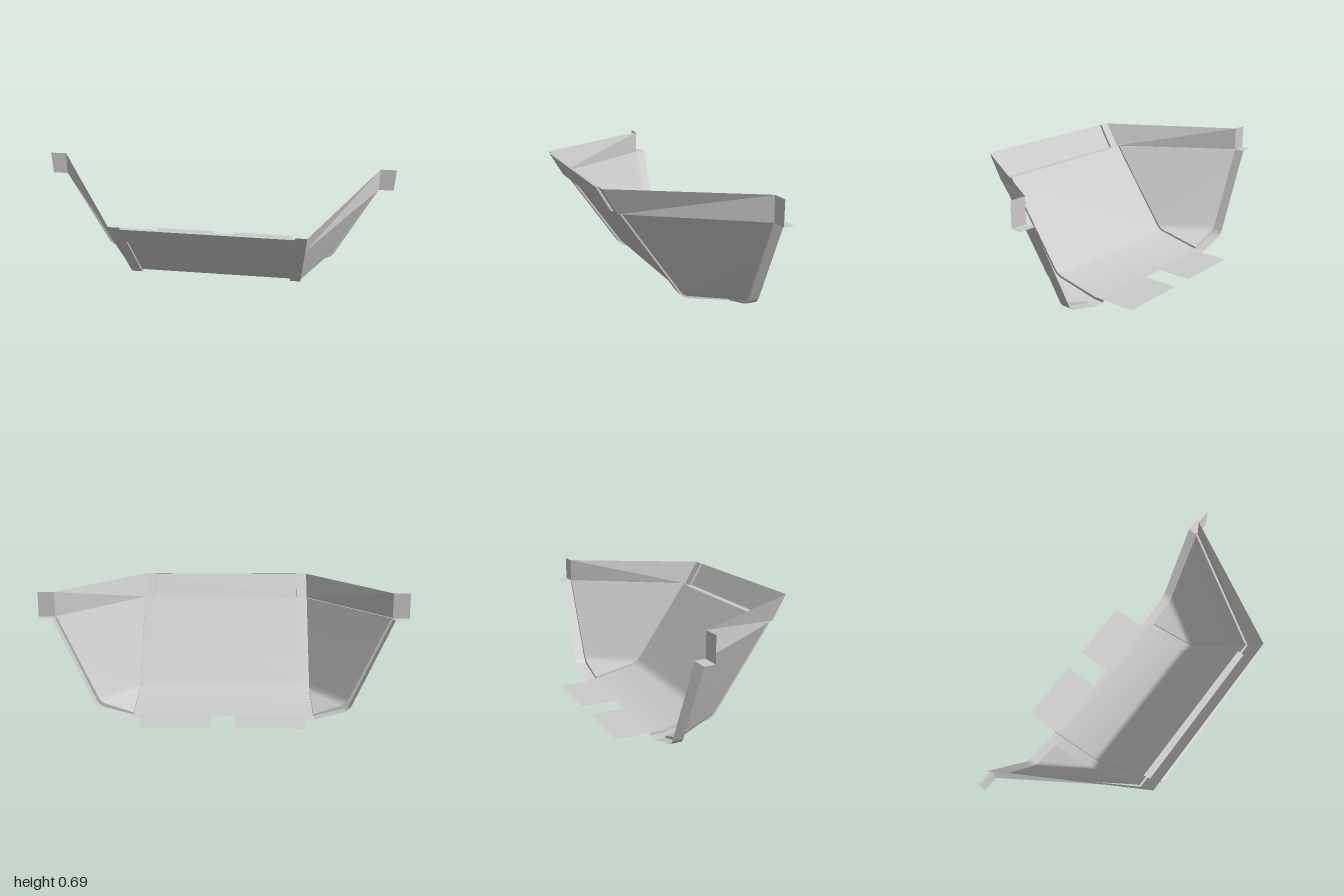
import * as THREE from 'three';
import { toCreasedNormals } from 'three/addons/utils/BufferGeometryUtils.js';

const material = new THREE.MeshStandardMaterial({ color: 0xcccccc, side: THREE.DoubleSide });
const V = (x, y, z) => new THREE.Vector3(x, y, z);

// Polyline whose second point (the bend) is replaced by a short curve
function bent(points, reach = 0.035, steps = 6) {
  const [a, b, c] = points;
  const p = b.clone().add(a.clone().sub(b).setLength(reach));
  const q = b.clone().add(c.clone().sub(b).setLength(reach));
  const curve = new THREE.QuadraticBezierCurve3(p, b, q);
  return [a, ...curve.getPoints(steps), ...points.slice(2)];
}

// Thin sheet stretched over rows of points of equal length
function sheet(name, rows) {
  const n = rows[0].length;
  const index = [];
  for (let r = 0; r < rows.length - 1; r++) {
    for (let i = 0; i < n - 1; i++) {
      const a = r * n + i, b = a + n;
      index.push(a, b, a + 1, b, b + 1, a + 1);
    }
  }
  const geometry = new THREE.BufferGeometry().setFromPoints(rows.flat());
  geometry.setIndex(index);
  const mesh = new THREE.Mesh(toCreasedNormals(geometry, 0.3), material);
  mesh.name = name;
  return mesh;
}

// Profiles running down the front face and back along the floor
const ribLine = (x) => bent([V(x, 0.555, 0.385), V(x, 0.06, 0.04), V(x, 0, -0.24), V(x, 0, -0.3)]);
const plateLine = (x) => bent([V(x, 0.555, 0.372), V(x, 0.07, 0.03), V(x, 0.015, -0.24), V(x, 0.015, -0.3)]);

function createSide(s) {
  const side = new THREE.Group();
  side.name = s > 0 ? 'leftSide' : 'rightSide';
  const X = (x, y, z) => V(s * x, y, z);
  const add = (name, ...rows) => side.add(sheet(name, rows));

  // Corner rib between the middle plate and the wing
  add('cornerRib', ribLine(s * 0.44), ribLine(s * 0.5));
  add('plateStep', plateLine(s * 0.44), ribLine(s * 0.44));
  add('cornerRibTop',
    [X(0.44, 0.69, 0.475), X(0.44, 0.555, 0.395), X(0.44, 0.555, 0.385)],
    [X(0.5, 0.69, 0.475), X(0.5, 0.555, 0.395), X(0.5, 0.555, 0.385)]);

  // Swept-back wing with a bent floor
  const inner = bent([X(0.5, 0.555, 0.375), X(0.5, 0.07, 0.035), X(0.5, 0.012, -0.24)]);
  const outer = bent([X(0.903, 0.555, -0.24), X(0.679, 0.07, -0.24), X(0.5, 0.012, -0.24)]);
  add('wingPanel', inner, outer);
  add('wingStep', inner, ribLine(s * 0.5).slice(0, -1));

  // Rim along the rear edge of the wing
  const rim = (z) => bent([X(0.915, 0.555, z), X(0.688, 0.05, z), X(0.5, 0, z)]);
  add('wingRim', outer, rim(-0.24), rim(-0.3));

  // Upper band with a narrow ledge to the wing panel
  add('wingBand',
    [X(0.5, 0.69, 0.475), X(0.91, 0.69, -0.24)],
    [X(0.5, 0.555, 0.395), X(0.915, 0.555, -0.24)],
    [X(0.5, 0.555, 0.375), X(0.903, 0.555, -0.24)]);

  // End bracket
  add('endBracket',
    [X(0.91, 0.69, -0.24), X(1, 0.69, -0.24)],
    [X(0.91, 0.555, -0.24), X(1, 0.555, -0.24)],
    [X(0.91, 0.555, -0.3), X(1, 0.555, -0.3)]);

  // Rear floor tab
  add('rearTab',
    [X(0.065, 0.015, -0.29), X(0.44, 0.015, -0.29)],
    [X(0.065, 0.015, -0.49), X(0.44, 0.015, -0.49)]);

  // Closing edge of the raised middle band
  add('middleBandEdge',
    [X(0.44, 0.69, 0.475), X(0.44, 0.555, 0.395)],
    [X(0.44, 0.687, 0.487), X(0.44, 0.555, 0.409)]);
  return side;
}

export function createModel() {
  const model = new THREE.Group();
  model.name = 'guardPlate';

  // Middle plate, bent from the face into the floor
  const plate = (x) => {
    const line = plateLine(x);
    line[line.length - 1].z = -0.29;
    return line;
  };
  model.add(sheet('middlePlate', [plate(-0.44), plate(0.44)]));

  // Raised middle band with its top and bottom ledges
  const band = (x) => [V(x, 0.69, 0.475), V(x, 0.687, 0.487), V(x, 0.555, 0.409), V(x, 0.555, 0.372)];
  model.add(sheet('middleBand', [band(-0.44), band(0.44)]));

  for (const s of [1, -1]) model.add(createSide(s));
  return model;
}
